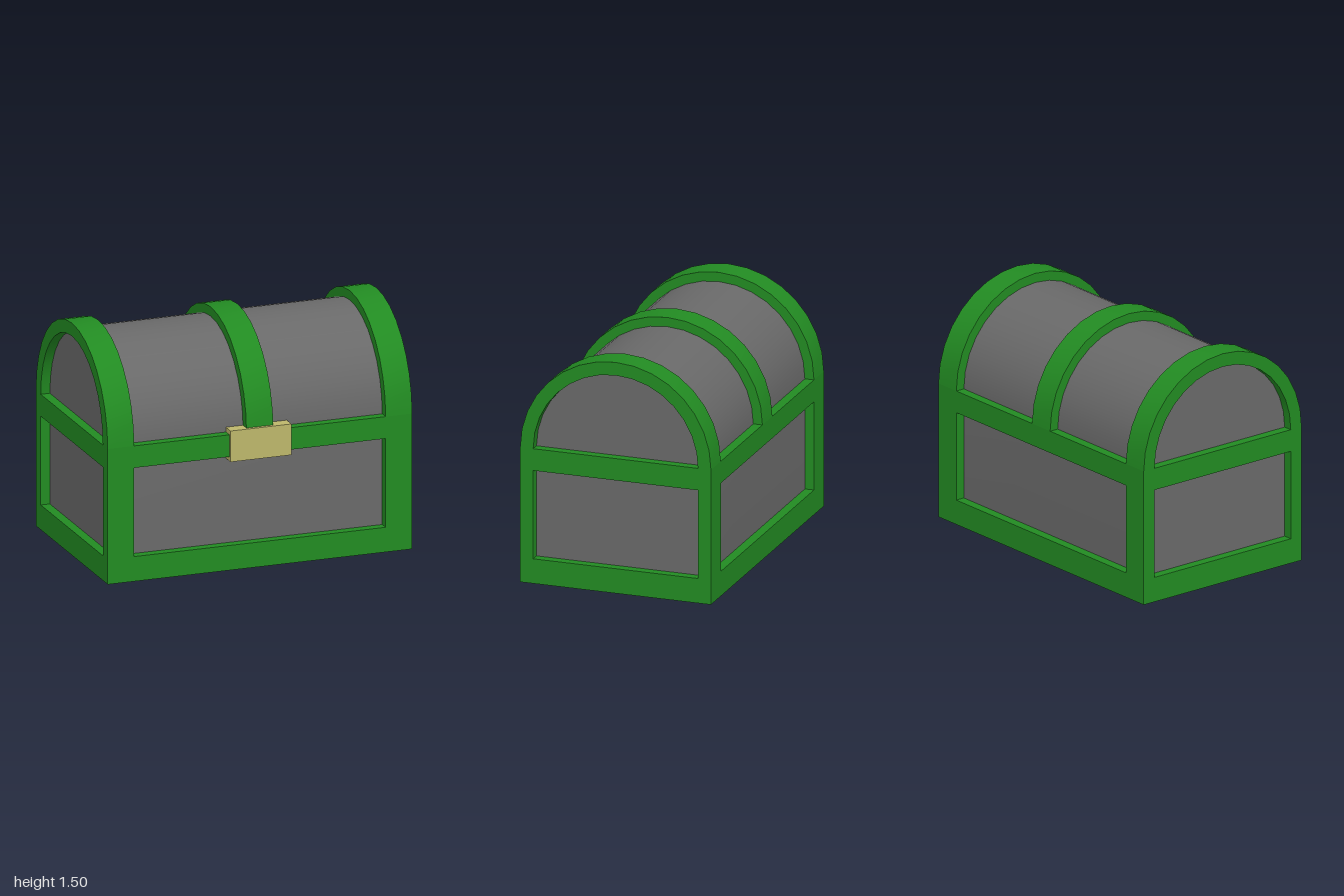
import * as THREE from 'three';
import { toCreasedNormals } from 'three/addons/utils/BufferGeometryUtils.js';

const GREEN = 0x228b22, GREY = 0x696969, KHAKI = 0xbdb76b;
const HALF_X = 1, R = 0.625, CORE_R = 0.565, INNER_R = 0.54;
const SPRING = 0.875, INSET = 0.06;

export function createModel() {
  const chest = new THREE.Group();
  chest.name = 'chest';
  chest.position.z = -0.01;

  const green = new THREE.MeshStandardMaterial({ color: GREEN });
  const grey = new THREE.MeshStandardMaterial({ color: GREY });
  const khaki = new THREE.MeshStandardMaterial({ color: KHAKI });

  const add = (name, geometry, material) => {
    const mesh = new THREE.Mesh(geometry, material);
    mesh.name = name;
    chest.add(mesh);
    return mesh;
  };
  const box = (w, h, d, x, y, z) => new THREE.BoxGeometry(w, h, d).translate(x, y, z);

  // Extrudes a shape by depth, centred on its plane
  const extrude = (shape, depth) => toCreasedNormals(
    new THREE.ExtrudeGeometry(shape, { depth, bevelEnabled: false, curveSegments: 8 })
      .translate(0, 0, -depth / 2), 0.5);

  const rect = (path, w, y0, y1) => path
    .moveTo(-w, y0).lineTo(w, y0).lineTo(w, y1).lineTo(-w, y1).closePath();

  // Recessed body and barrel lid
  const core = new THREE.Shape();
  core.moveTo(-CORE_R, 0.16).lineTo(CORE_R, 0.16).lineTo(CORE_R, SPRING);
  core.absarc(0, SPRING, CORE_R, 0, Math.PI, false);
  core.closePath();
  add('bodyAndLid', extrude(core, 2 * (HALF_X - INSET)).rotateY(Math.PI / 2), grey);

  // Base slab
  add('base', box(2 * (HALF_X - INSET), 0.16, 2 * CORE_R, 0, 0.08, 0), green);

  // Frame around one recessed wall panel
  const frame = (halfWidth, halfHole) => {
    const shape = rect(new THREE.Shape(), halfWidth, 0, SPRING);
    shape.holes.push(rect(new THREE.Path(), halfHole, 0.16, 0.733));
    return extrude(shape, INSET);
  };
  for (const s of [1, -1]) {
    add(s > 0 ? 'frontFrame' : 'backFrame', frame(HALF_X, 0.826), green)
      .position.z = s * (R - INSET / 2);
    const side = add(s > 0 ? 'leftFrame' : 'rightFrame', frame(CORE_R, INNER_R), green);
    side.rotation.y = Math.PI / 2;
    side.position.x = s * (HALF_X - INSET / 2);
  }

  // Arched bands over the lid
  const band = new THREE.Shape();
  band.moveTo(R, SPRING);
  band.absarc(0, SPRING, R, 0, Math.PI, false);
  band.lineTo(-INNER_R, SPRING);
  band.absarc(0, SPRING, INNER_R, Math.PI, 0, true);
  band.closePath();
  for (const [name, x, width] of [
    ['rightBand', -0.913, 0.174], ['middleBand', 0, 0.176], ['leftBand', 0.913, 0.174],
  ]) {
    add(name, extrude(band, width).rotateY(Math.PI / 2), green).position.x = x;
  }

  // Lock plate
  add('lock', box(0.4, 0.2, 0.084, 0, 0.805, 0.602), khaki);

  return chest;
}
